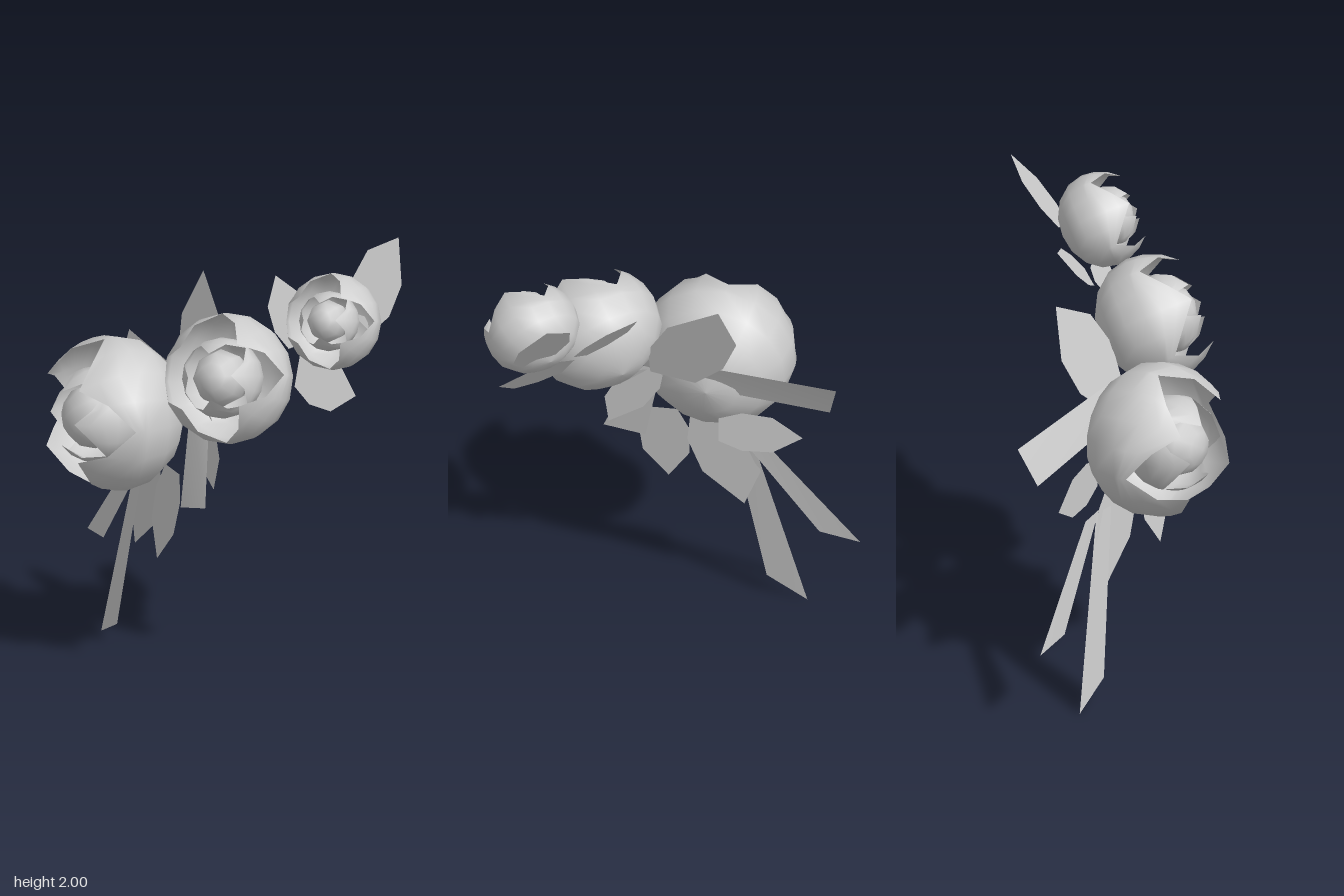
import * as THREE from 'three';

const material = new THREE.MeshStandardMaterial({ color: 0xcccccc, side: THREE.DoubleSide });
material.name = 'paleGrey';
const v = (p) => new THREE.Vector3(...p);

// Cup grown from a flattened pole at -y: an even bowl up to the waist,
// then petals whose rim zigzags between valley and peak angles (degrees)
function cupGeometry(radius, valley, peak, points, base) {
  const bowlRows = 4, rows = 7, cols = points * 4, pos = [], index = [];
  for (let i = 0; i <= rows; i++) {
    for (let j = 0; j < cols; j++) {
      const rim = [peak, (peak + valley) / 2, valley, (peak + valley) / 2][j % 4];
      const angle = i <= bowlRows ? (i / bowlRows) * 90
        : 90 + ((i - bowlRows) / (rows - bowlRows)) * (rim - 90);
      const theta = THREE.MathUtils.degToRad(angle);
      const phi = (j / cols) * Math.PI * 2;
      const r = radius * Math.sin(theta);
      const h = -radius * Math.cos(theta);
      pos.push(r * Math.cos(phi), h < 0 ? h * base : h, r * Math.sin(phi));
      if (i === rows) continue;
      const a = i * cols + j, d = i * cols + ((j + 1) % cols);
      index.push(a, a + cols, d + cols, a, d + cols, d);
    }
  }
  const geo = new THREE.BufferGeometry();
  geo.setAttribute('position', new THREE.Float32BufferAttribute(pos, 3));
  geo.setIndex(index);
  geo.computeVertexNormals();
  return geo;
}

// Rose: outer petals, inner petals and a closed bud, opening along dir
function rose(name, centre, dir, R, spin) {
  const group = new THREE.Group();
  group.name = name;
  const add = (part, geo, turn, lift) => {
    const mesh = new THREE.Mesh(geo, material);
    mesh.name = part;
    mesh.rotation.y = turn;
    mesh.position.y = lift;
    group.add(mesh);
  };
  add('outerPetals', cupGeometry(R, 100, 138, 4, 0.84), spin, 0);
  add('innerPetals', cupGeometry(R * 0.62, 98, 145, 4, 1), spin + Math.PI / 4, R * 0.24);
  add('bud', new THREE.SphereGeometry(R * 0.44, 8, 6), spin, R * 0.28);
  const y = v(dir).normalize();
  const x = new THREE.Vector3(0, 1, 0).cross(y).normalize();
  const z = x.clone().cross(y);
  group.quaternion.setFromRotationMatrix(new THREE.Matrix4().makeBasis(x, y, z));
  group.position.set(...centre);
  return group;
}

// Flat outline filled as a fan
function plate(name, corners) {
  const geo = new THREE.BufferGeometry().setFromPoints(corners);
  const index = [];
  for (let i = 1; i < corners.length - 1; i++) index.push(0, i, i + 1);
  geo.setIndex(index);
  geo.computeVertexNormals();
  const mesh = new THREE.Mesh(geo, material);
  mesh.name = name;
  return mesh;
}

// Pointed leaf from base to tip, spread along the full width vector
function leaf(base, tip, width) {
  const b = v(base), t = v(tip), w = v(width);
  const outline = [[0, 0.3], [0.28, 0.5], [0.64, 0.46], [1, 0],
    [0.64, -0.46], [0.28, -0.5], [0, -0.3]];
  return plate('leaf', outline.map(([s, k]) => b.clone().lerp(t, s).addScaledVector(w, k)));
}

export function createModel() {
  const model = new THREE.Group();
  model.name = 'roseSpray';

  model.add(
    rose('largeRose', [-0.465, 1.18, 0.12], [-0.76, 0.07, 0.65], 0.335, 0.9),
    rose('middleRose', [0.075, 1.455, 0.26], [-0.15, 0.38, 0.9], 0.28, 1.0),
    rose('smallRose', [0.51, 1.727, 0.16], [-0.15, 0.38, 0.9], 0.207, 0.95),
  );

  // Leaves: base, tip, width
  const leaves = [
    [[0.585, 1.68, 0.02], [0.7, 2.0, -0.18], [0.2, -0.1, 0.13]],
    [[0.34, 1.47, 0.13], [0.63, 1.43, 0.24], [0, 0.19, -0.14]],
    [[0.33, 1.56, 0.06], [0.17, 1.785, -0.13], [0.15, 0.07, -0.03]],
    [[-0.14, 1.25, 0.02], [-0.18, 1.725, -0.24], [0.24, 0.09, 0.21]],
    [[-0.33, 0.97, 0.01], [-0.44, 0.5, -0.09], [0.17, -0.05, 0.22]],
    [[-0.2, 0.97, 0.17], [-0.26, 0.565, 0.2], [0.15, 0, 0.16]],
    [[-0.1, 1.26, 0.12], [0.01, 0.94, 0.27], [0.14, 0.06, 0.11]],
    [[-0.3, 0.96, -0.09], [-0.56, 0.94, -0.34], [0, 0.2, 0]],
  ];
  for (const l of leaves) model.add(leaf(...l));

  // Cut stems and ribbon-like blades with slanted ends
  const stems = [
    [[-0.16, 1.32, 0.02], [-0.59, 1.29, -0.53], [-0.62, 1.115, -0.45], [-0.2, 1.17, 0.05]],
    [[-0.49, 0.84, -0.2], [-0.76, 0.375, -0.48], [-0.65, 0.4, -0.34], [-0.42, 0.85, -0.12]],
    [[-0.45, 0.85, -0.14], [-0.64, 0, -0.27], [-0.53, 0.1, -0.13], [-0.4, 0.85, -0.06]],
    [[-0.14, 1.25, 0.1], [-0.15, 0.82, 0.22], [-0.01, 0.875, 0.33], [-0.04, 1.25, 0.16]],
  ];
  for (const s of stems) model.add(plate('stem', s.map(v)));

  return model;
}
